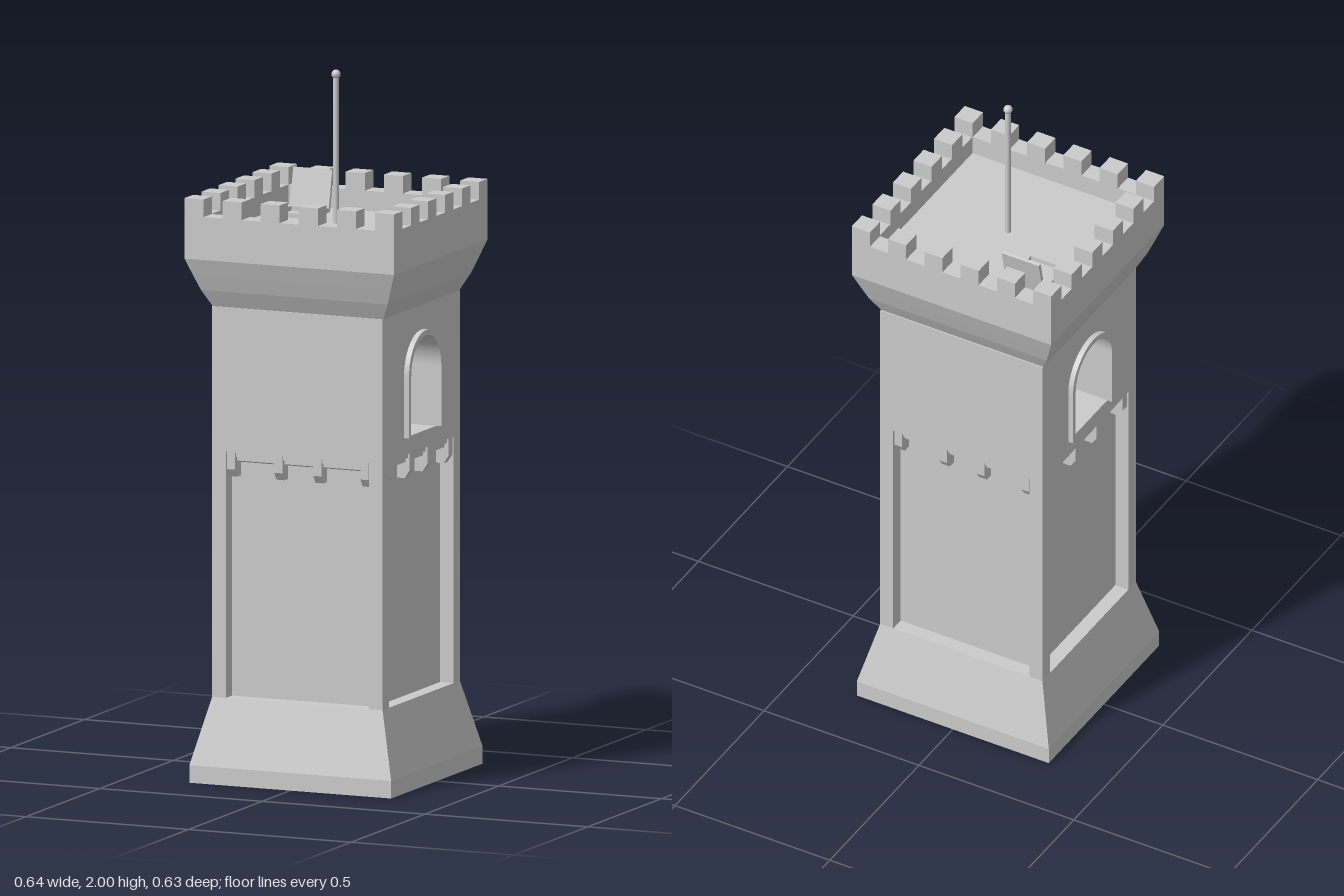
import * as THREE from 'three';

const mat = new THREE.MeshStandardMaterial({ color: 0xcccccc, flatShading: true });
const smooth = new THREE.MeshStandardMaterial({ color: 0xcccccc });

function add(parent, name, geo, x = 0, y = 0, z = 0, material = mat) {
  const m = new THREE.Mesh(geo, material);
  m.name = name;
  m.position.set(x, y, z);
  parent.add(m);
  return m;
}

function box(parent, name, x0, x1, y0, y1, z0, z1) {
  return add(parent, name, new THREE.BoxGeometry(x1 - x0, y1 - y0, z1 - z0),
    (x0 + x1) / 2, (y0 + y1) / 2, (z0 + z1) / 2);
}

// Square body from [half width, height] pairs, bottom to top
function squareLathe(profile) {
  const pts = profile.map(([h, y]) => new THREE.Vector2(h * Math.SQRT2, y));
  return new THREE.LatheGeometry(pts, 4, Math.PI / 4);
}

// Round-topped opening outline
function archPath(path, r, y0, spring) {
  path.moveTo(-r, y0);
  path.lineTo(r, y0);
  path.lineTo(r, spring);
  path.absarc(0, spring, r, 0, Math.PI, false);
  path.lineTo(-r, y0);
  return path;
}

// Extrude a [z, y] profile along x, centred
function alongX(profile, width) {
  const s = new THREE.Shape(profile.map(([z, y]) => new THREE.Vector2(-z, y)));
  const g = new THREE.ExtrudeGeometry(s, { depth: width, bevelEnabled: false });
  g.translate(0, 0, -width / 2);
  return g.rotateY(Math.PI / 2);
}

const H = 0.262, CORE = 0.22, SILL = 0.24, HEAD = 0.94, TOP = 1.35;
const WIN_Y = 0.99, SPRING = 1.163, ROOF = 1.555, WALL = 1.612;

export function createModel() {
  const tower = new THREE.Group();
  tower.name = 'tower';

  // Spreading foot
  add(tower, 'base', squareLathe([[0, 0], [0.31, 0], [0.31, 0.05], [H, SILL], [0, SILL]]));

  // Lower shaft: core with corner piers framing the sunken panels
  box(tower, 'core', -CORE, CORE, SILL, HEAD, -CORE, CORE);
  for (const sx of [-1, 1]) for (const sz of [-1, 1]) {
    const c = (CORE + H) / 2;
    add(tower, 'cornerPier', new THREE.BoxGeometry(H - CORE, HEAD - SILL, H - CORE),
      sx * c, (SILL + HEAD) / 2, sz * c);
  }

  // Lintel and corbels at the head of each panel
  const lintel = alongX([[0.215, HEAD], [0.215, 0.905], [0.246, 0.914], [0.246, 0.926],
    [0.254, 0.926], [0.254, HEAD]], CORE * 2);
  const corbel = alongX([[0.215, HEAD], [0.215, 0.868], [0.244, 0.868], [0.259, 0.89],
    [0.259, HEAD]], 0.025);
  for (let i = 0; i < 4; i++) {
    const side = new THREE.Group();
    side.name = 'panelHead';
    side.rotation.y = i * Math.PI / 2;
    add(side, 'lintel', lintel);
    for (const x of [-0.205, -0.06, 0.06, 0.205]) add(side, 'corbel', corbel, x);
    tower.add(side);
  }

  // Upper shaft, pierced from side to side by an arched opening
  const wall = new THREE.Shape([[-H, HEAD], [H, HEAD], [H, TOP], [-H, TOP]]
    .map(([x, y]) => new THREE.Vector2(x, y)));
  wall.holes.push(archPath(new THREE.Path(), 0.102, WIN_Y, SPRING));
  const upper = new THREE.ExtrudeGeometry(wall, { depth: H * 2, bevelEnabled: false, curveSegments: 24 });
  upper.translate(0, 0, -H).rotateY(Math.PI / 2);
  add(tower, 'upperShaft', upper, 0, 0, 0, smooth);

  // Raised surrounds of the opening
  const ring = new THREE.Shape();
  ring.moveTo(0.102, WIN_Y);
  ring.lineTo(0.117, WIN_Y);
  ring.lineTo(0.117, SPRING);
  ring.absarc(0, SPRING, 0.117, 0, Math.PI, false);
  ring.lineTo(-0.117, WIN_Y);
  ring.lineTo(-0.102, WIN_Y);
  ring.lineTo(-0.102, SPRING);
  ring.absarc(0, SPRING, 0.102, Math.PI, 0, true);
  ring.lineTo(0.102, WIN_Y);
  const surround = new THREE.ExtrudeGeometry(ring, { depth: 0.025, bevelEnabled: false, curveSegments: 24 });
  surround.translate(0, 0, -0.0125).rotateY(Math.PI / 2);
  for (const s of [-1, 1]) add(tower, 'windowSurround', surround, s * 0.265, 0, 0, smooth);

  // Flared crown with parapet and roof deck
  const crown = new THREE.Group();
  crown.name = 'crown';
  crown.scale.z = 0.985;
  tower.add(crown);
  add(crown, 'parapet', squareLathe([[0, TOP], [H, TOP], [0.287, 1.398], [0.304, 1.442],
    [0.322, 1.49], [0.322, WALL], [0.265, WALL], [0.265, ROOF], [0, ROOF]]));

  // Merlons: every other cell round an 11 by 11 border
  const cell = 0.644 / 11;
  const merlon = new THREE.BoxGeometry(cell, 0.052, cell);
  for (let i = 0; i < 11; i += 2) for (let j = 0; j < 11; j += 2) {
    if (i % 10 && j % 10) continue;
    add(crown, 'merlon', merlon, (i - 5) * cell, WALL + 0.024, (j - 5) * cell);
  }

  // Roof hatch: frame and open lid
  const hatch = new THREE.Group();
  hatch.name = 'hatch';
  hatch.position.set(-0.169, ROOF, -0.129);
  tower.add(hatch);
  for (const s of [-1, 1]) {
    add(hatch, 'hatchFrame', new THREE.BoxGeometry(0.12, 0.014, 0.011), 0, 0.006, s * 0.0545);
    add(hatch, 'hatchFrame', new THREE.BoxGeometry(0.011, 0.014, 0.098), s * 0.0545, 0.006, 0);
  }
  const lid = add(hatch, 'hatchLid', new THREE.BoxGeometry(0.12, 0.12, 0.01).translate(0, 0.06, -0.005),
    0, 0.001, -0.061);
  lid.rotation.x = -0.21;

  // Flagpole
  add(tower, 'flagpole', new THREE.CylinderGeometry(0.008, 0.008, 0.43, 16), 0, ROOF + 0.215, 0, smooth);
  add(tower, 'flagpoleBall', new THREE.SphereGeometry(0.013, 16, 12), 0, 1.987, 0, smooth);

  return tower;
}
